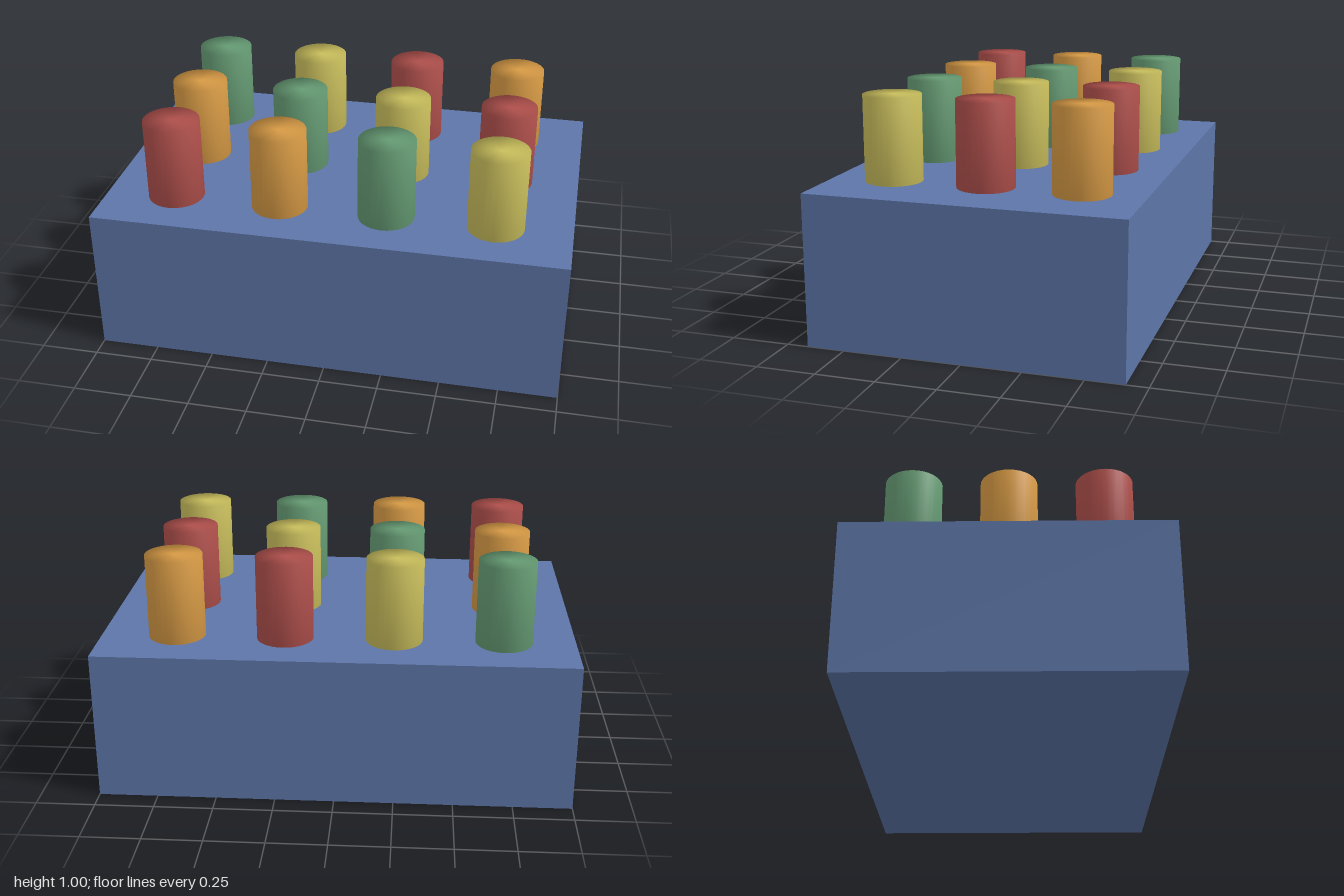
import * as THREE from 'three';
import { mergeVertices } from 'three/addons/utils/BufferGeometryUtils.js';

const BASE_HEIGHT = 0.64;
const PEG_HEIGHT = 0.36;

// Cylinder whose sides and caps share smooth normals
function smoothPeg() {
  const raw = new THREE.CylinderGeometry(0.12, 0.12, PEG_HEIGHT, 32);
  raw.deleteAttribute('normal');
  raw.deleteAttribute('uv');
  const peg = mergeVertices(raw);
  peg.computeVertexNormals();
  return peg;
}

export function createModel() {
  const model = new THREE.Group();
  model.name = 'pegBlock';

  // Solid block
  const base = new THREE.Mesh(
    new THREE.BoxGeometry(2, BASE_HEIGHT, 1.32),
    new THREE.MeshStandardMaterial({ color: 0x5d75a8 })
  );
  base.name = 'base';
  base.position.y = BASE_HEIGHT / 2;
  model.add(base);

  // Three rows of four pegs; the colour order shifts by one in each row
  const pegs = new THREE.Group();
  pegs.name = 'pegs';
  const materials = [0xb0504c, 0xd89b45, 0x669c74, 0xc9be5c].map(
    (color) => new THREE.MeshStandardMaterial({ color })
  );
  const geometry = smoothPeg();
  for (let row = 0; row < 3; row++) {
    for (let col = 0; col < 4; col++) {
      const peg = new THREE.Mesh(geometry, materials[(row + col) % 4]);
      peg.name = `pegRow${row + 1}Column${col + 1}`;
      peg.position.set(-0.7 + col * 0.46, BASE_HEIGHT + PEG_HEIGHT / 2, 0.4 - row * 0.4);
      pegs.add(peg);
    }
  }
  model.add(pegs);

  return model;
}
